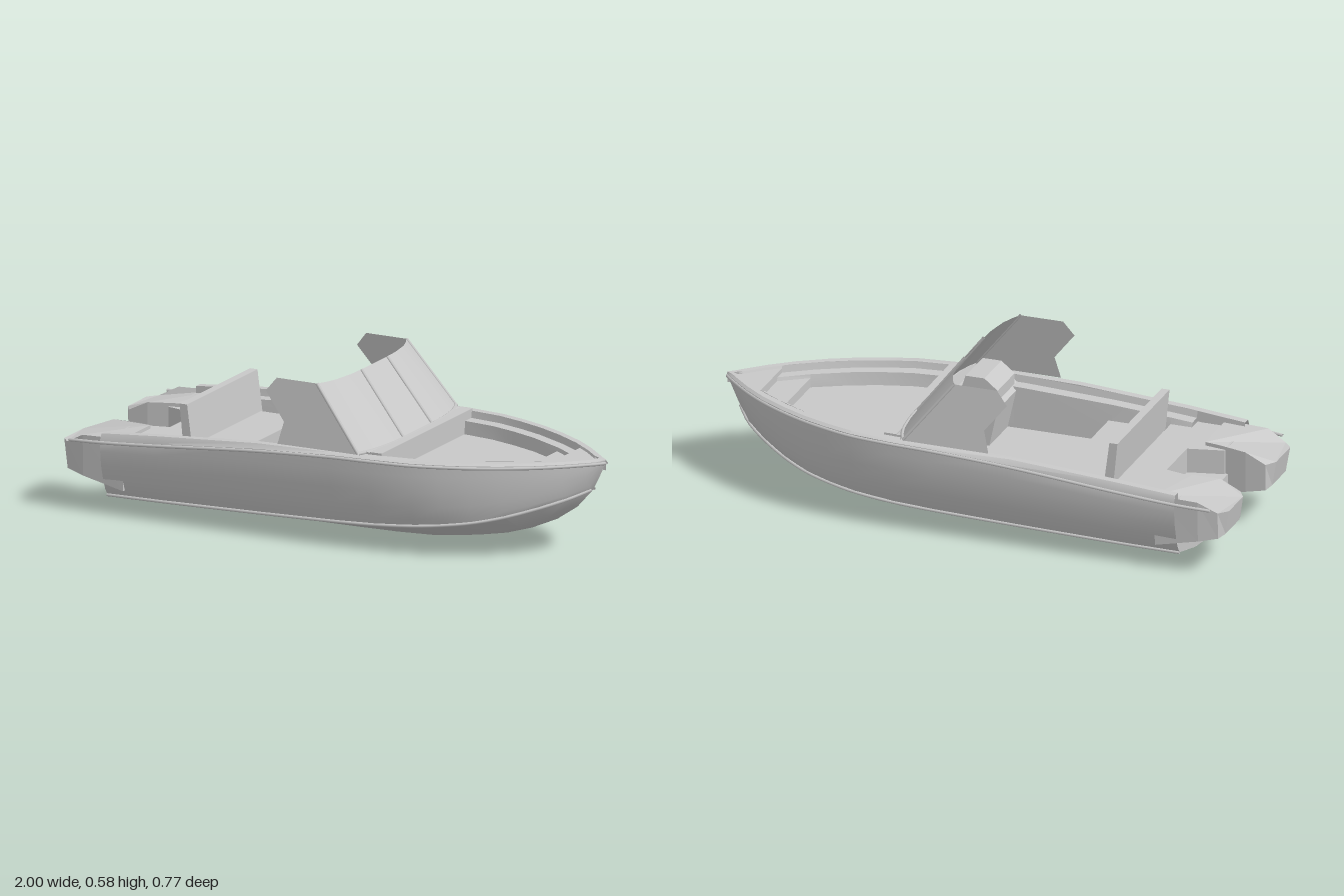
import * as THREE from 'three';
import { toCreasedNormals } from 'three/addons/utils/BufferGeometryUtils.js';

const paint = new THREE.MeshStandardMaterial({ color: 0xc8c8c8, side: THREE.DoubleSide });
paint.name = 'light grey';

// Hull stations: x, gunwale half width, outer edge y, inner edge y, chine half width, chine y, keel y
const HULL = [
  [-0.82, 0.375, 0.272, 0.295, 0.32, 0.062, 0],
  [-0.6, 0.38, 0.29, 0.315, 0.325, 0.067, 0],
  [-0.2, 0.38, 0.325, 0.343, 0.327, 0.078, 0],
  [0.1, 0.38, 0.342, 0.35, 0.327, 0.088, 0],
  [0.25, 0.376, 0.345, 0.352, 0.324, 0.095, 0],
  [0.4, 0.357, 0.345, 0.353, 0.31, 0.106, 0.002],
  [0.5, 0.328, 0.345, 0.353, 0.287, 0.116, 0.013],
  [0.6, 0.29, 0.345, 0.353, 0.255, 0.13, 0.033],
  [0.7, 0.24, 0.345, 0.353, 0.208, 0.152, 0.065],
  [0.8, 0.178, 0.345, 0.353, 0.148, 0.182, 0.11],
  [0.88, 0.115, 0.345, 0.353, 0.085, 0.21, 0.165],
  [0.94, 0.058, 0.345, 0.353, 0.008, 0.236, 0.232],
  [0.97, 0.028, 0.345, 0.353, 0.002, 0.292, 0.29],
  [0.993, 0.003, 0.346, 0.352, 0.0, 0.341, 0.34],
];

// Interpolated hull station at any x
function hullAt(x) {
  let i = 0;
  while (i < HULL.length - 2 && HULL[i + 1][0] < x) i++;
  const a = HULL[i], b = HULL[i + 1];
  const t = THREE.MathUtils.clamp((x - a[0]) / (b[0] - a[0]), 0, 1);
  return a.map((v, k) => v + (b[k] - v) * t);
}

// Skin over rows of [x, y, z] points
function loft(rows, crease = 0.6) {
  const n = rows[0].length, index = [];
  for (let r = 0; r < rows.length - 1; r++)
    for (let c = 0; c < n - 1; c++) {
      const a = r * n + c, b = a + n;
      index.push(a, b, a + 1, a + 1, b, b + 1);
    }
  const g = new THREE.BufferGeometry();
  g.setAttribute('position', new THREE.Float32BufferAttribute(rows.flat(2), 3));
  g.setIndex(index);
  return toCreasedNormals(g, crease);
}

// Full cross-section from half points [z, y] that run from the middle outwards
const section = (x, half) => [
  ...half.slice(1).reverse().map(([z, y]) => [x, y, z]),
  ...half.map(([z, y]) => [x, y, -z]),
];

const shapeOf = (pts) => new THREE.Shape(pts.map((p) => new THREE.Vector2(...p)));

// Side profile (x, y) extruded from z0 to z1
function profile(pts, z0, z1) {
  const g = new THREE.ExtrudeGeometry(shapeOf(pts), { depth: z1 - z0, bevelEnabled: false });
  return g.translate(0, 0, z0);
}

// Plan outline (x, z) extruded from y0 to y1
function plan(pts, y0, y1) {
  const g = new THREE.ExtrudeGeometry(shapeOf(pts.map(([x, z]) => [x, -z])), { depth: y1 - y0, bevelEnabled: false });
  return g.rotateX(-Math.PI / 2).translate(0, y0, 0);
}

function rail(points, radius) {
  const curve = new THREE.CatmullRomCurve3(points.map((p) => new THREE.Vector3(...p)));
  return new THREE.TubeGeometry(curve, points.length * 4, radius, 6);
}

function boxBetween(x0, x1, y0, y1, z0, z1) {
  return new THREE.BoxGeometry(x1 - x0, y1 - y0, z1 - z0)
    .translate((x0 + x1) / 2, (y0 + y1) / 2, (z0 + z1) / 2);
}

export function createModel() {
  const boat = new THREE.Group();
  boat.name = 'motorboat';
  const add = (name, geometry) => {
    const m = new THREE.Mesh(geometry, paint);
    m.name = name;
    boat.add(m);
    return m;
  };

  // Outer hull with bottom, chine, flared sides and gunwale
  add('hull', loft(HULL.map(([x, w, g, s, c, cy, k]) => {
    const side = [[0.12, 0.3], [0.3, 0.58], [0.55, 0.85], [0.8, 0.97], [1, 1]]
      .map(([t, f]) => [c + (w - c) * f, cy + (g - cy) * t]);
    const inner = Math.max(w - 0.04, 0);
    return section(x, [[0, k], [c * 0.5, k + (cy - k) * 0.32], [c, cy], ...side,
      [Math.max(w - 0.012, 0), s], [inner, s], [inner, s - 0.04]]);
  })));

  // Transom below the motor well
  const half = [[0.32, 0.062], [0.338, 0.1], [0.352, 0.18]];
  const transom = new THREE.ShapeGeometry(shapeOf([[0, 0], [0.16, 0.02], ...half,
    ...half.slice().reverse().map(([z, y]) => [-z, y]), [-0.16, 0.02]]));
  add('transom', transom.rotateY(-Math.PI / 2).translate(-0.82, 0, 0));

  // Inner liner: stepped floor heights along the length
  const floors = [[-0.64, 0.27], [-0.56, 0.27], [-0.56, 0.24], [-0.34, 0.24], [-0.34, 0.17], [0, 0.17], [0.26, 0.17],
    [0.26, 0.28], [0.4, 0.28], [0.5, 0.28], [0.6, 0.28], [0.73, 0.28], [0.73, 0.315], [0.83, 0.315],
    [0.83, 0.345], [0.88, 0.345], [0.94, 0.345], [0.985, 0.345]];
  add('deckLiner', loft(floors.map(([x, y]) => {
    const [, w, , s] = hullAt(x);
    const z = (d) => Math.max(w - d, 0);
    const ledge = Math.max(s - 0.025, y);
    return section(x, [[0, y], [z(0.095), y], [z(0.09), ledge], [z(0.045), ledge], [z(0.04), s]]);
  }), 0.3));

  // Stern deck around the motor well
  add('sternDeck', plan([[-0.82, 0.345], [-0.64, 0.345], [-0.64, -0.345], [-0.82, -0.345],
    [-0.82, -0.13], [-0.69, -0.1], [-0.69, 0.1], [-0.82, 0.13]], 0.12, 0.27));
  add('motorWell', boxBetween(-0.83, -0.68, 0.12, 0.18, -0.14, 0.14));

  for (const s of [1, -1]) {
    const label = s > 0 ? 'left' : 'right';

    // Stern pod: chamfered plan with sloped top and bottom
    const pod = plan([[-0.74, 0.15], [-0.8, 0.14], [-0.9, 0.125], [-0.975, 0.125], [-1, 0.165], [-1, 0.325], [-0.97, 0.36],
      [-0.9, 0.375], [-0.74, 0.378]].map(([x, z]) => [x, z * s]), 0, 1);
    const p = pod.attributes.position;
    for (let i = 0; i < p.count; i++) {
      const x = p.getX(i), z = p.getZ(i);
      if (p.getY(i) > 0.5) {
        p.setY(i, x < -0.95 ? 0.24 : x < -0.85 ? 0.277 : 0.283);
        p.setZ(i, Math.abs(z) > 0.3 ? z - s * 0.02 : z);
      } else {
        p.setY(i, 0.105 + (-0.8 - x) * 0.22);
        p.setX(i, Math.max(x, -0.985));
        p.setZ(i, Math.abs(z) > 0.3 ? z - s * 0.025 : z);
      }
    }
    pod.computeVertexNormals();
    add(label + 'SternPod', pod);

    // Rub rail and chine rail
    add(label + 'RubRail', rail([[-0.95, 0.255, s * 0.362], ...HULL.map(([x, w, g]) => [x, g - 0.008, s * w])], 0.006));
    add(label + 'ChineRail', rail(HULL.slice(0, 12).map(([x, , , , c, cy]) => [x, cy, s * (c + 0.002)]), 0.006));

    // Dashboard console
    const [z0, z1] = s > 0 ? [0.1, 0.335] : [-0.335, -0.1];
    add(label + 'Console', profile([[0.25, 0.17], [0.25, 0.355], [0.18, 0.365], [0.07, 0.355], [0.02, 0.31], [0.05, 0.17]], z0, z1));

    // Side wing of the windshield, leaning inward
    const wing = new THREE.ShapeGeometry(shapeOf([[0.2, 0.352], [0.02, 0.58], [-0.14, 0.58], [-0.18, 0.53], [-0.1, 0.43], [-0.12, 0.35]]));
    const q = wing.attributes.position;
    for (let i = 0; i < q.count; i++) q.setZ(i, s * (0.362 - 0.032 * (q.getY(i) - 0.352) / 0.228));
    wing.computeVertexNormals();
    add(label + 'WindshieldWing', wing);
  }

  // Helm pod on the left console
  add('helmPod', profile([[0.17, 0.35], [0.15, 0.41], [0.08, 0.41], [0.03, 0.37], [0.03, 0.33]], 0.13, 0.3));

  // Curved front windshield with frame bars
  const zs = [-1, -0.9, -0.75, -0.5, -0.28, 0, 0.28, 0.5, 0.75, 0.9, 1];
  const base = (t) => [0.245 - 0.045 * t ** 4, 0.355, 0.362 * t];
  const top = (t) => [0.07 - 0.05 * t ** 4, 0.58, 0.33 * t];
  add('windshield', loft([zs.map(top), zs.map(base)]));
  for (const t of [-1, -0.29, 0.29, 1]) {
    const b = base(t), u = top(t);
    add('windshieldPost', rail([b, b.map((v, i) => (v + u[i]) / 2), u], 0.006));
  }
  add('windshieldSill', rail(zs.map(base), 0.008));
  add('bulkheadSill', boxBetween(0.235, 0.28, 0.28, 0.36, -0.335, 0.335));

  // Rear bench with backrest
  add('bench', boxBetween(-0.54, -0.34, 0.2, 0.265, -0.25, 0.25));
  add('backrest', profile([[-0.55, 0.26], [-0.515, 0.26], [-0.535, 0.412], [-0.565, 0.412]], -0.26, 0.26));

  return boat;
}
